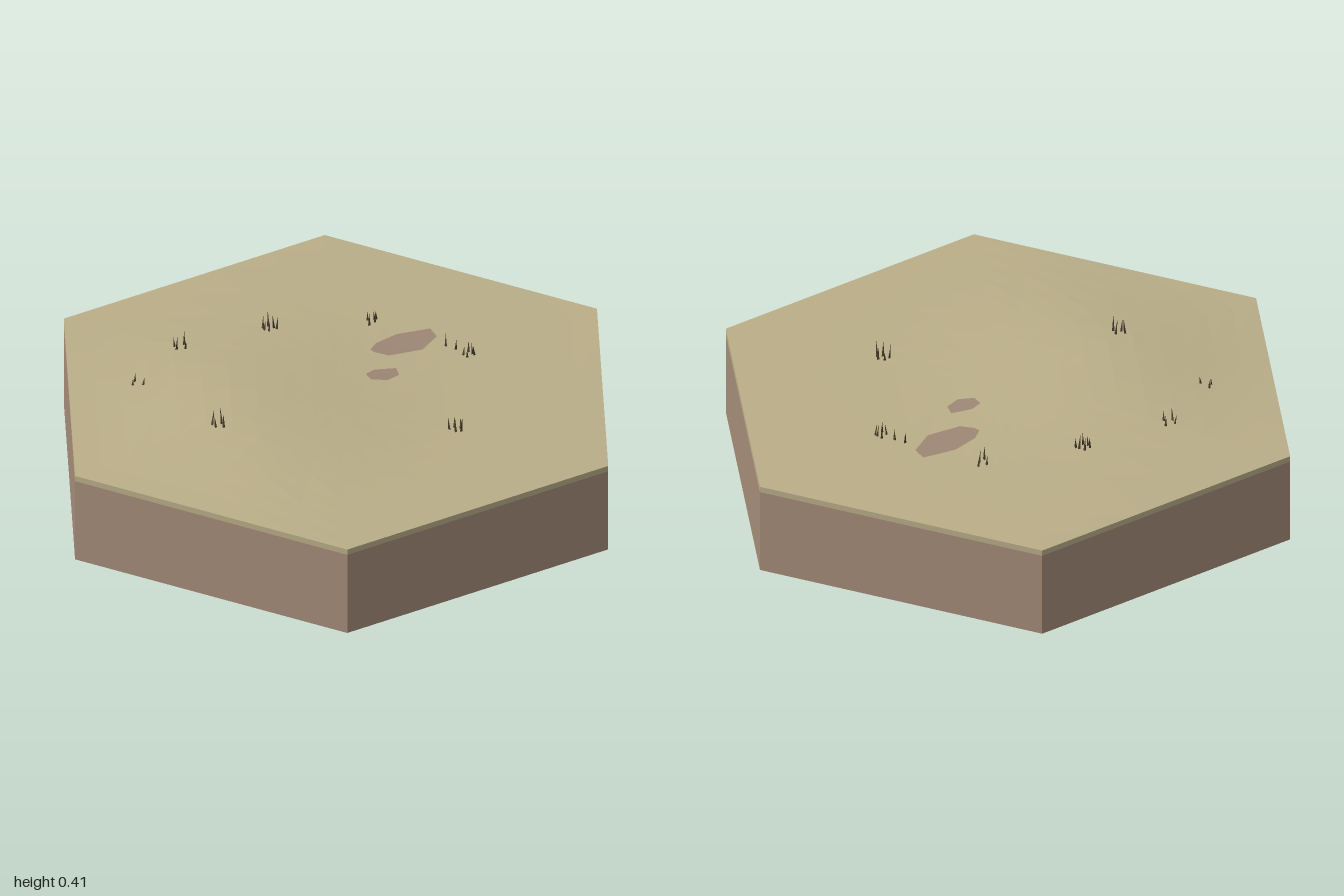
import * as THREE from 'three';

const TOP = 0.315;
const material = (name, color, extra = {}) =>
  new THREE.MeshStandardMaterial({ name, color, flatShading: true, ...extra });

// Small seeded generator
function seeded(seed) {
  return () => (seed = (seed * 16807) % 2147483647) / 2147483647;
}

// 0 at the centre of the tile, 1 on its six-sided border
function borderFraction(x, z) {
  let d = 0;
  for (let i = 0; i < 3; i++) {
    const a = (i * Math.PI) / 3;
    d = Math.max(d, Math.abs(x * Math.cos(a) + z * Math.sin(a)));
  }
  return d / Math.cos(Math.PI / 6);
}

// Low hill that fades out to a level border
function groundHeight(x, z) {
  const d = Math.min(1, borderFraction(x, z));
  const hill = Math.exp(-0.5 * (((x + 0.33) / 0.3) ** 2 + ((z - 0.16) / 0.36) ** 2));
  const bumps = 0.0015 * Math.sin(x * 11 + z * 4) * Math.sin(z * 9 - x * 3);
  return TOP + (0.048 * hill + bumps * hill) * (1 - d ** 4);
}

// Faceted surface made of concentric hexagonal rings
function terrainGeometry(rings = 10, perSide = 5) {
  const n = perSide * 6;
  const pos = [0, groundHeight(0, 0), 0];
  const index = [];
  const corner = (i) => [Math.sin((i * Math.PI) / 3), Math.cos((i * Math.PI) / 3)];
  for (let r = 1; r <= rings; r++) {
    for (let s = 0; s < n; s++) {
      const side = Math.floor(s / perSide);
      const t = (s % perSide) / perSide;
      const a = corner(side), b = corner(side + 1);
      const x = (a[0] + (b[0] - a[0]) * t) * (r / rings);
      const z = (a[1] + (b[1] - a[1]) * t) * (r / rings);
      pos.push(x, groundHeight(x, z), z);
      const t1 = (s + 1) % n;
      const outer = 1 + (r - 1) * n, inner = outer - n;
      if (r === 1) index.push(0, outer + s, outer + t1);
      else {
        index.push(inner + s, outer + s, outer + t1);
        index.push(inner + s, outer + t1, inner + t1);
      }
    }
  }
  const g = new THREE.BufferGeometry();
  g.setAttribute('position', new THREE.Float32BufferAttribute(pos, 3));
  g.setIndex(index);
  g.computeVertexNormals();
  return g;
}

// Flat outline laid just above the ground
function patchGeometry(outline) {
  const shape = new THREE.Shape(outline.map(([x, z]) => new THREE.Vector2(x, -z)));
  const g = new THREE.ShapeGeometry(shape).rotateX(-Math.PI / 2);
  const p = g.attributes.position;
  for (let i = 0; i < p.count; i++) p.setY(i, groundHeight(p.getX(i), p.getZ(i)) + 0.004);
  g.computeVertexNormals();
  return g;
}

export function createModel() {
  const model = new THREE.Group();
  model.name = 'hexTile';
  const earth = material('earth', 0xa58c79);
  const dryGrass = material('dryGrass', 0xbaae88);
  const darkBlade = material('darkBlade', 0x4a4230);
  const soil = material('bareSoil', 0x9e8775, { side: THREE.DoubleSide });

  const add = (name, geometry, mat, parent = model) => {
    const mesh = new THREE.Mesh(geometry, mat);
    mesh.name = name;
    parent.add(mesh);
    return mesh;
  };

  // Block, turf band and ground surface
  const rim = 0.295;
  add('earthBlock', new THREE.CylinderGeometry(1, 1, rim, 6).translate(0, rim / 2, 0), earth);
  add('turfEdge', new THREE.CylinderGeometry(1, 1, TOP - rim, 6, 1, true)
    .translate(0, (TOP + rim) / 2, 0), dryGrass);
  add('ground', terrainGeometry(), dryGrass);

  // Bare soil patches
  add('largeSoilPatch', patchGeometry([
    [0.12, -0.245], [0.14, -0.29], [0.21, -0.35], [0.32, -0.385],
    [0.34, -0.335], [0.29, -0.25], [0.18, -0.21], [0.135, -0.23],
  ]), soil);
  add('smallSoilPatch', patchGeometry([
    [0.1, -0.085], [0.13, -0.115], [0.2, -0.128], [0.208, -0.085], [0.17, -0.048], [0.115, -0.05],
  ]), soil);

  // Tufts: x, z, blade count, tallest blade
  const tufts = [
    [-0.2, -0.39, 6, 0.06], [0.13, -0.44, 4, 0.055], [0.385, -0.27, 2, 0.055],
    [0.44, -0.22, 5, 0.06], [-0.5, -0.28, 4, 0.05], [-0.645, -0.05, 3, 0.035],
    [-0.39, 0.265, 4, 0.065], [0.385, 0.255, 5, 0.06],
  ];
  const random = seeded(4217);
  for (const [x, z, count, tall] of tufts) {
    const tuft = new THREE.Group();
    tuft.name = 'grassTuft';
    model.add(tuft);
    for (let i = 0; i < count; i++) {
      const angle = (i / count) * Math.PI * 2 + random();
      const reach = 0.012 + random() * 0.014;
      const height = tall * (0.6 + 0.4 * random());
      const bx = x + Math.cos(angle) * reach;
      const bz = z + Math.sin(angle) * reach;
      const blade = add('blade',
        new THREE.ConeGeometry(0.005, height, 3).translate(0, height / 2, 0), darkBlade, tuft);
      blade.position.set(bx, groundHeight(bx, bz) - 0.002, bz);
      blade.rotation.set(Math.sin(angle) * 0.12, random() * 6, -Math.cos(angle) * 0.12);
    }
  }
  return model;
}
